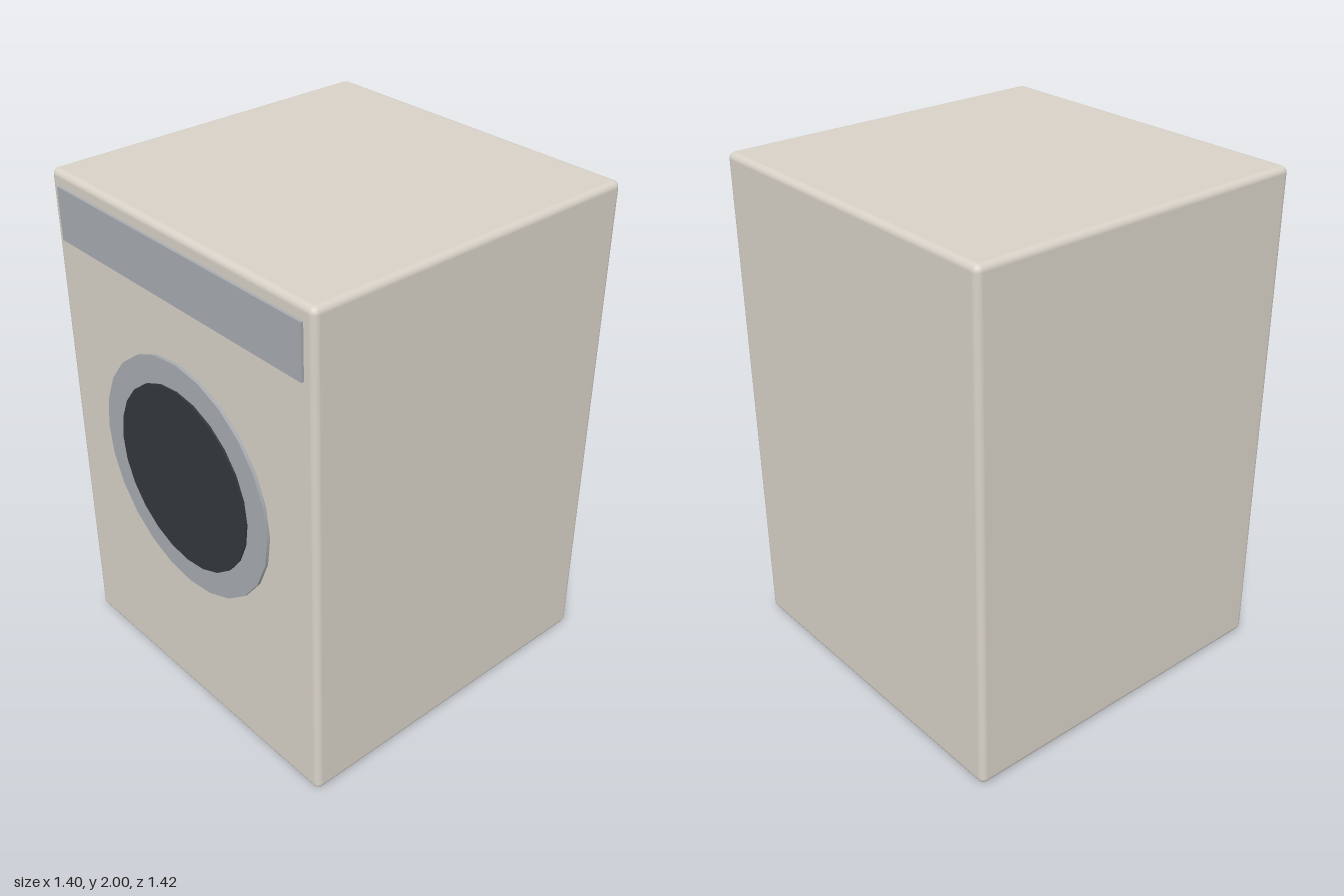
import * as THREE from 'three';
import { RoundedBoxGeometry } from 'three/addons/geometries/RoundedBoxGeometry.js';

const BODY_FRONT = 0.69;
const DOOR_Y = 1.04;

export function createModel() {
  const group = new THREE.Group();
  const enamel = new THREE.MeshStandardMaterial({ color: 0xd8d2c8 });
  const steel = new THREE.MeshStandardMaterial({ color: 0xa8acb0 });
  const glass = new THREE.MeshStandardMaterial({ color: 0x34373d });

  function add(name, geometry, material, x, y, z) {
    const mesh = new THREE.Mesh(geometry, material);
    mesh.name = name;
    mesh.position.set(x, y, z);
    group.add(mesh);
  }

  // Disc facing +z, its back sunk into the cabinet and its face at frontZ
  function addDisc(name, radius, sides, frontZ, material) {
    const depth = frontZ - BODY_FRONT + 0.02;
    const disc = new THREE.CylinderGeometry(radius, radius, depth, sides).rotateX(Math.PI / 2);
    add(name, disc, material, 0, DOOR_Y, frontZ - depth / 2);
  }

  // Cabinet with softly rounded edges
  add('cabinet', new RoundedBoxGeometry(1.405, 2, 1.4, 3, 0.025), enamel, 0, 1, BODY_FRONT - 0.7);

  // Control panel strip
  add('controlPanel', new THREE.BoxGeometry(1.31, 0.205, 0.03), steel, 0, 1.842, 0.685);

  // Round door: frame and dark window
  addDisc('doorFrame', 0.47, 24, 0.703, steel);
  addDisc('doorWindow', 0.365, 24, 0.71, glass);

  return group;
}
